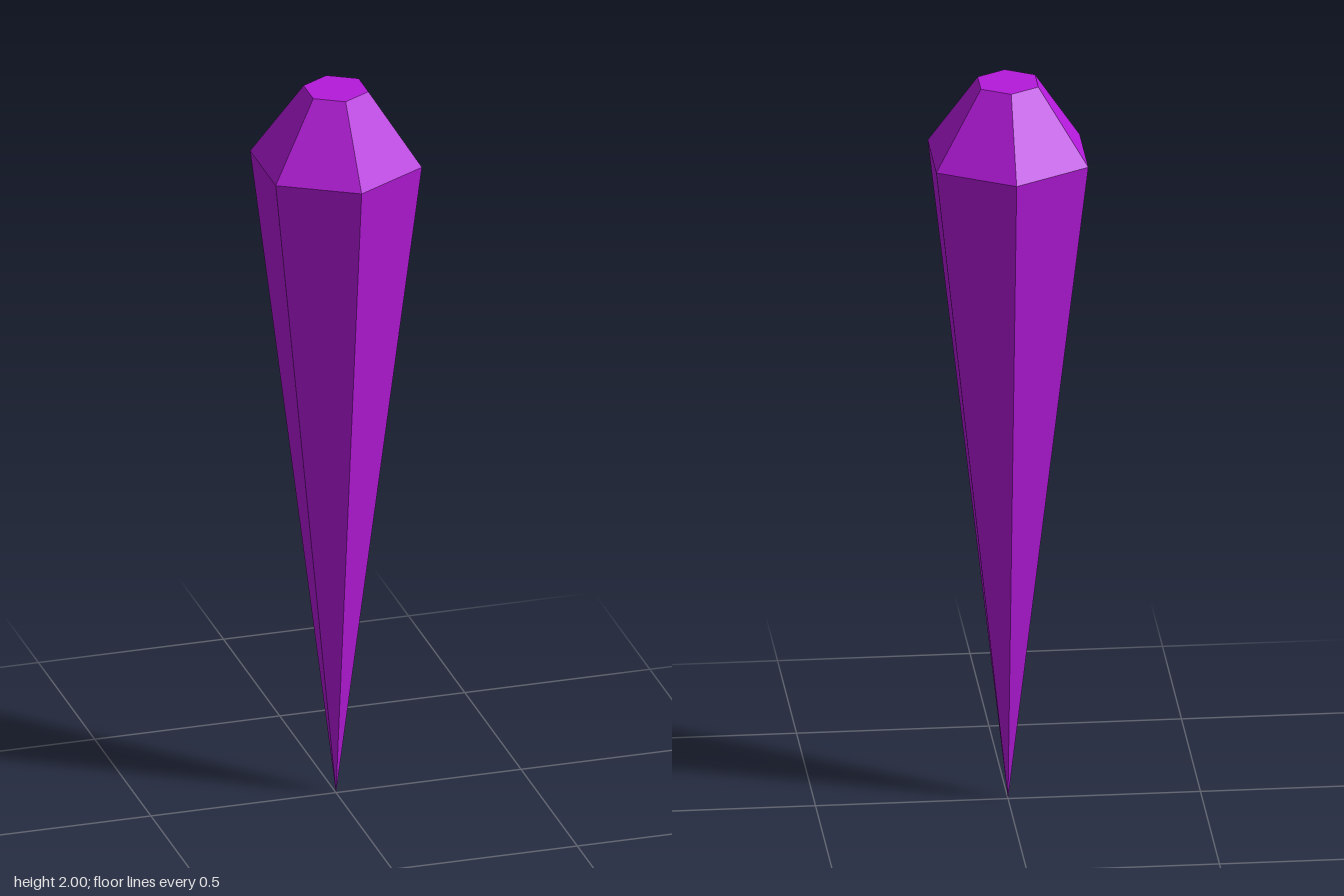
import * as THREE from 'three';

export function createModel() {
  const group = new THREE.Group();
  group.name = 'crystalShard';

  // Six-sided profile from the pointed tip, over the girdle, to the flat top
  const profile = [
    [0, 0],
    [0.228, 1.8],
    [0.086, 2],
    [0, 2],
  ].map(([r, y]) => new THREE.Vector2(r, y));

  const crystal = new THREE.Mesh(
    new THREE.LatheGeometry(profile, 6),
    new THREE.MeshStandardMaterial({ color: 0xb41adb, flatShading: true })
  );
  crystal.name = 'crystal';
  group.add(crystal);

  return group;
}
